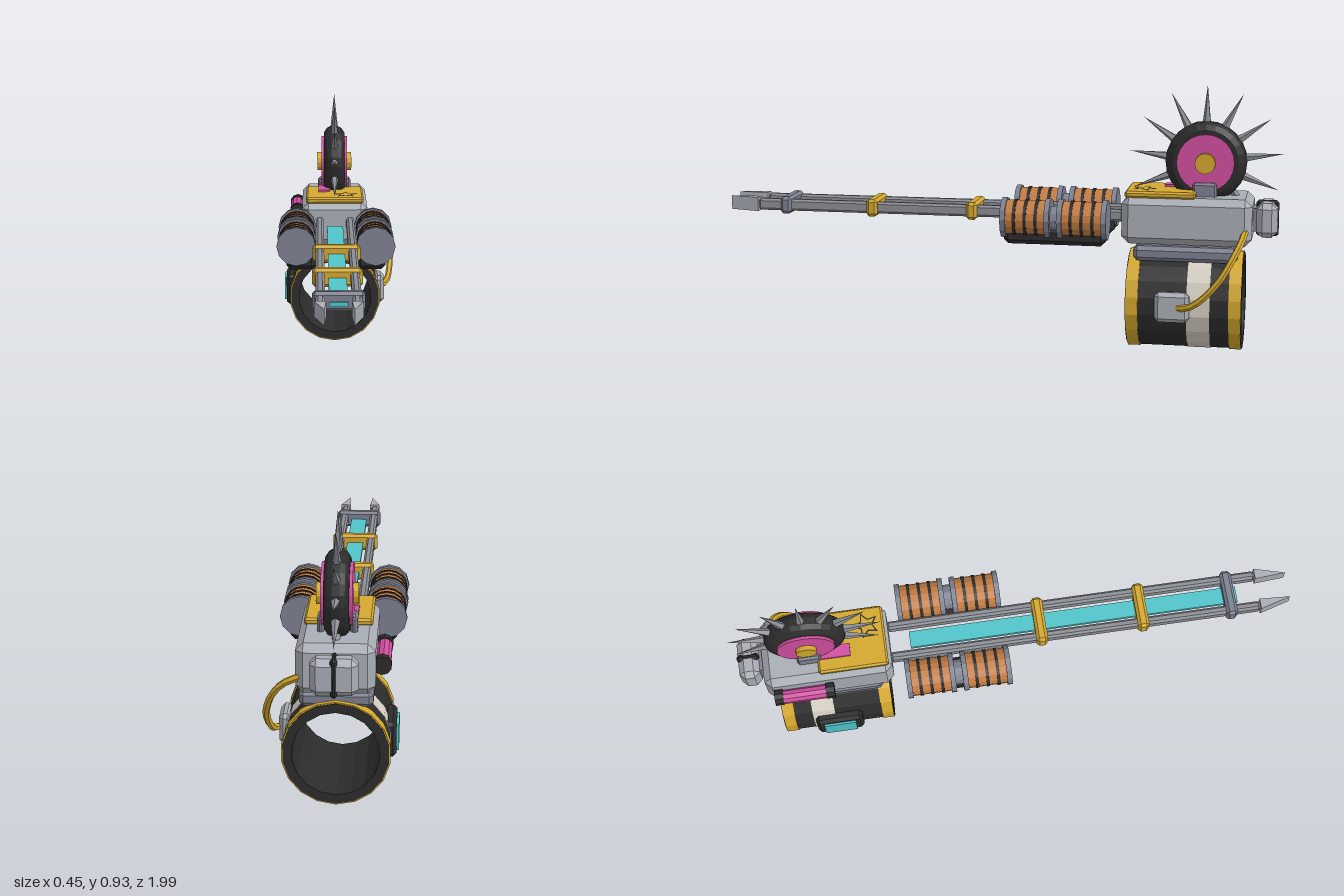
import * as THREE from 'three';
import { ConvexGeometry } from 'three/addons/geometries/ConvexGeometry.js';

const CX = -0.012; // plane of symmetry
const HALF = Math.PI / 2;

function material(name, color) {
  const m = new THREE.MeshStandardMaterial({ color });
  m.name = name;
  return m;
}

// Box with every edge and corner chamfered by c
function bevelBox(w, h, d, c) {
  const pts = [], x = w / 2, y = h / 2, z = d / 2;
  for (const sx of [-1, 1]) for (const sy of [-1, 1]) for (const sz of [-1, 1]) {
    pts.push(new THREE.Vector3(sx * x, sy * (y - c), sz * (z - c)));
    pts.push(new THREE.Vector3(sx * (x - c), sy * y, sz * (z - c)));
    pts.push(new THREE.Vector3(sx * (x - c), sy * (y - c), sz * z));
  }
  return new ConvexGeometry(pts);
}

// Cylinder along z, centred
const rodZ = (r, len, n = 12) => new THREE.CylinderGeometry(r, r, len, n).rotateX(HALF);
const rodX = (r, len, n = 16) => new THREE.CylinderGeometry(r, r, len, n).rotateZ(HALF);

// Hollow ring along z, centred
function ringZ(ri, ro, len, n = 18) {
  const p = [[ri, -len / 2], [ro, -len / 2], [ro, len / 2], [ri, len / 2], [ri, -len / 2]];
  return new THREE.LatheGeometry(p.map(a => new THREE.Vector2(...a)), n).rotateX(HALF);
}

function starShape(r) {
  const s = new THREE.Shape();
  for (let i = 0; i < 10; i++) {
    const a = HALF + i * Math.PI / 5, k = i % 2 ? r * 0.48 : r;
    s[i ? 'lineTo' : 'moveTo'](Math.cos(a) * k, Math.sin(a) * k);
  }
  s.closePath();
  return s;
}

export function createModel() {
  const black = material('black rubber', 0x2c2c2c);
  const gold = material('gold', 0xd4a82e);
  const light = material('light grey metal', 0xa9adb5);
  const steel = material('steel', 0x8b8e95);
  const slate = material('slate grey metal', 0x7d8190);
  const cyan = material('cyan glow', 0x50c4ca);
  const pink = material('pink', 0xd04f9f);
  const copper = material('copper', 0xc47c42);
  const cream = material('cream', 0xd6cec2);

  const model = new THREE.Group();
  model.name = 'wristLauncher';
  // Adds a faceted mesh
  function add(name, geo, mat, x = CX, y = 0, z = 0) {
    const g = geo.index ? geo.toNonIndexed() : geo;
    g.computeVertexNormals();
    const mesh = new THREE.Mesh(g, mat);
    mesh.name = name;
    mesh.position.set(x, y, z);
    model.add(mesh);
    return mesh;
  }

  // Bracer
  add('bracer', ringZ(0.14, 0.171, 0.4), black, CX, 0.175, -0.66);
  for (const z of [-0.483, -0.837]) add('bracerRim', ringZ(0.16, 0.175, 0.042), gold, CX, 0.175, z);
  add('bracerBand', ringZ(0.16, 0.173, 0.08), cream, CX, 0.175, -0.712);

  // Screen on the right arm side, socket box on the left
  add('screenFrame', bevelBox(0.045, 0.12, 0.17, 0.012), black, -0.178, 0.175, -0.66);
  add('screen', new THREE.BoxGeometry(0.008, 0.085, 0.115), cyan, -0.204, 0.173, -0.66);
  add('socketBox', bevelBox(0.04, 0.105, 0.12, 0.014), light, 0.163, 0.178, -0.623);

  // Cable from the body down to the socket
  const cable = new THREE.CatmullRomCurve3([
    [0.09, 0.44, -0.865], [0.15, 0.41, -0.855], [0.19, 0.36, -0.83],
    [0.212, 0.29, -0.79], [0.208, 0.22, -0.73], [0.195, 0.185, -0.68], [0.17, 0.178, -0.635],
  ].map(p => new THREE.Vector3(...p)));
  add('cable', new THREE.TubeGeometry(cable, 14, 0.012, 6), gold, 0);

  // Mount and main body
  add('mount', bevelBox(0.235, 0.052, 0.36, 0.014), slate, CX, 0.35, -0.66);
  add('mountNeck', new THREE.BoxGeometry(0.16, 0.05, 0.32), light, CX, 0.385, -0.66);
  add('body', bevelBox(0.25, 0.165, 0.45, 0.025), light, CX, 0.465, -0.662);
  add('rearNeck', new THREE.BoxGeometry(0.1, 0.08, 0.05), slate, CX, 0.47, -0.895);
  add('rearKnob', bevelBox(0.15, 0.12, 0.072, 0.02), light, CX, 0.47, -0.936);
  add('rearKnobBand', bevelBox(0.022, 0.126, 0.078, 0.008), black, CX, 0.47, -0.936);

  // Canister on the body's right side
  add('canister', rodZ(0.025, 0.17, 10), pink, -0.16, 0.475, -0.755);
  for (const z of [-0.845, -0.665]) add('canisterCap', rodZ(0.03, 0.03, 10), black, -0.157, 0.475, z);

  // Top plate with star and tab
  add('topPlate', bevelBox(0.22, 0.024, 0.245, 0.007), gold, CX, 0.555, -0.57);
  add('starOutline', new THREE.ShapeGeometry(starShape(0.05)).rotateX(-HALF), black, 0.03, 0.5685, -0.51);
  add('star', new THREE.ShapeGeometry(starShape(0.039)).rotateX(-HALF), gold, 0.03, 0.57, -0.51);
  add('pinkTab', new THREE.BoxGeometry(0.045, 0.009, 0.11), pink, -0.052, 0.57, -0.63);

  // Spiked wheel
  const wy = 0.663, wz = -0.72;
  const tyre = [[0.08, -0.04], [0.115, -0.04], [0.133, -0.028], [0.141, -0.012],
    [0.141, 0.012], [0.133, 0.028], [0.115, 0.04], [0.08, 0.04]];
  add('wheelTyre', new THREE.LatheGeometry(tyre.map(p => new THREE.Vector2(...p)), 24).rotateZ(HALF), black, CX, wy, wz);
  add('wheelDisc', rodX(0.1, 0.1, 24), pink, CX, wy, wz);
  add('wheelHub', rodX(0.036, 0.134, 12), gold, CX, wy, wz);
  for (let i = 0; i < 13; i++) {
    const spike = new THREE.ConeGeometry(0.016, 0.138, 5).translate(0, 0.199, 0);
    add('wheelSpike', spike, steel, CX, wy, wz).rotation.x = i * Math.PI * 2 / 13;
  }
  for (const s of [-1, 1]) add('wheelBracket', bevelBox(0.022, 0.06, 0.085, 0.008), slate, CX + s * 0.053, 0.565, wz);

  // Twin rails with blade tips
  for (const s of [-1, 1]) {
    add('rail', bevelBox(0.03, 0.042, 1.33, 0.008), steel, CX + s * 0.058, 0.473, 0.225);
    const blade = new THREE.Shape();
    blade.moveTo(-0.019 * s, 0);
    blade.lineTo(0.019 * s, 0);
    blade.lineTo(-0.012 * s, -0.11);
    blade.closePath();
    const geo = new THREE.ExtrudeGeometry(blade, { depth: 0.05, bevelEnabled: false });
    add('bladeTip', geo.rotateX(-HALF).translate(0, -0.025, 0), light, CX + s * 0.058, 0.473, 0.89);
  }
  add('energyStrip', new THREE.BoxGeometry(0.06, 0.014, 1.18), cyan, CX, 0.467, 0.225);
  for (const [z, mat] of [[0.1, gold], [0.465, gold], [0.785, slate]])
    add('railClamp', bevelBox(0.168, 0.062, 0.04, 0.01), mat, CX, 0.473, z);

  // Coil pods, two in line on each side, over a tray
  for (const s of [-1, 1]) {
    const px = CX + s * 0.143, py = 0.468;
    add('podCore', rodZ(0.045, 0.34), slate, px, py, -0.21);
    for (const z of [-0.31, -0.112]) {
      add('coil', rodZ(0.063, 0.15, 16), copper, px, py, z);
      for (let i = -1; i <= 1; i++) add('coilBand', rodZ(0.066, 0.011, 16), black, px, py, z + i * 0.038);
      for (const e of [-1, 1]) add('coilFlange', rodZ(0.071, 0.018), slate, px, py, z + e * 0.077);
    }
    add('podTray', bevelBox(0.106, 0.06, 0.355, 0.015), black, CX + s * 0.126, 0.41, -0.212);
  }
  return model;
}
